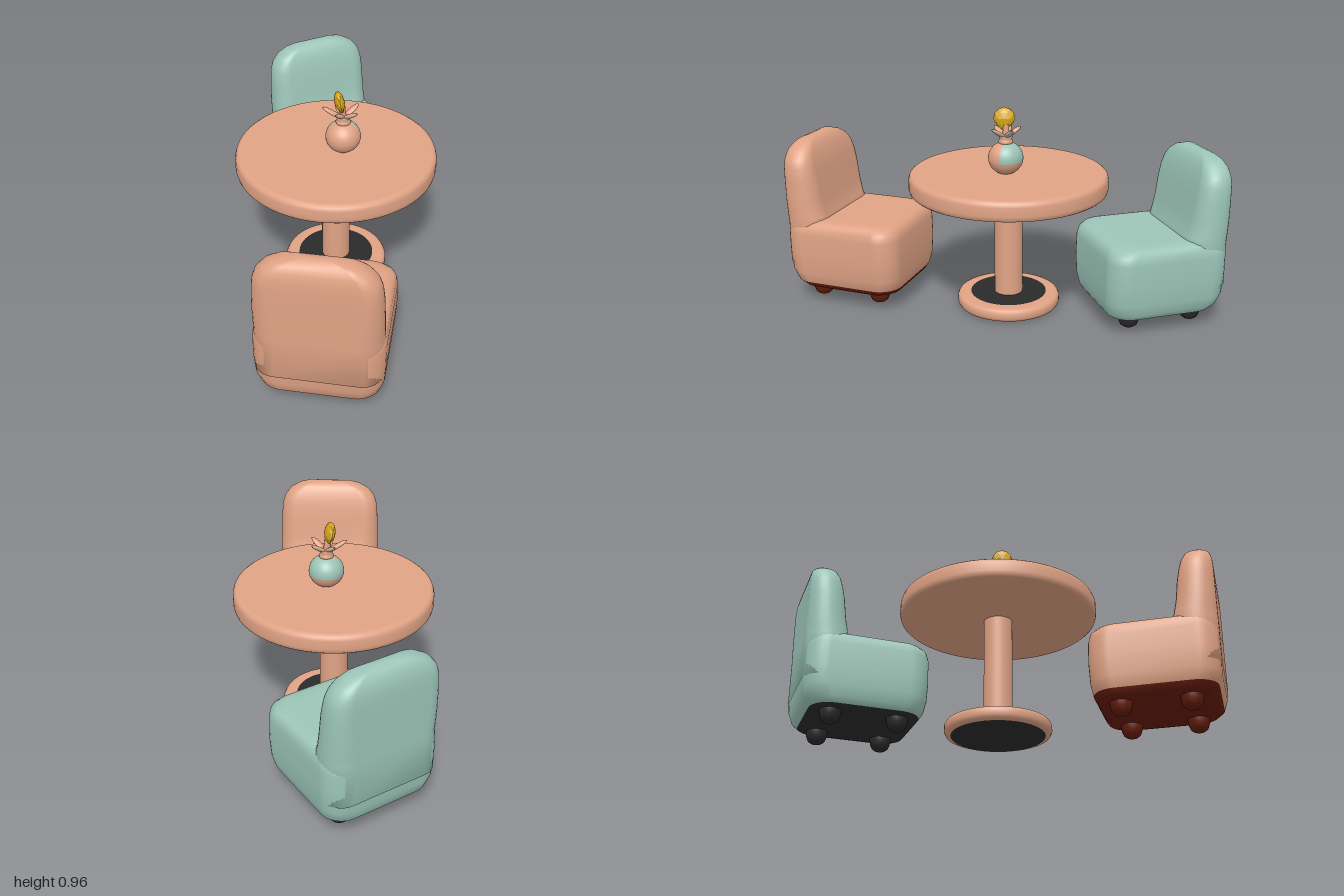
import * as THREE from 'three';

const mat = (name, color, extra = {}) => {
  const m = new THREE.MeshStandardMaterial({ color, ...extra });
  m.name = name;
  return m;
};

// Lofts rounded-rectangle rings [y, halfWidth, zBack, zFront]; rings below `split` use the second material
function loft(sections, corner, split = 0) {
  const steps = 8, n = 4 * (steps + 1), pos = [], idx = [];
  for (const [y, w, zb, zf] of sections) {
    const d = (zf - zb) / 2, zc = (zf + zb) / 2, r = Math.min(corner, d * 0.95, w * 0.95);
    for (let q = 0; q < 4; q++) {
      const sx = q === 0 || q === 3 ? 1 : -1, sz = q < 2 ? 1 : -1;
      for (let i = 0; i <= steps; i++) {
        const a = (q + i / steps) * Math.PI / 2;
        pos.push(sx * (w - r) + r * Math.cos(a), y, zc + sz * (d - r) + r * Math.sin(a));
      }
    }
  }
  const last = sections.length - 1;
  const mid = s => [0, s[0], (s[2] + s[3]) / 2];
  pos.push(...mid(sections[0]), ...mid(sections[last]));
  const bottom = n * (last + 1), top = bottom + 1;
  for (let j = 0; j < n; j++) idx.push(bottom, j, (j + 1) % n);
  let lower = 0;
  for (let k = 0; k < last; k++) {
    if (k === split) lower = idx.length;
    for (let j = 0; j < n; j++) {
      const a = k * n + j, b = k * n + (j + 1) % n;
      idx.push(a, a + n, b, b, a + n, b + n);
    }
  }
  for (let j = 0; j < n; j++) idx.push(top, last * n + (j + 1) % n, last * n + j);
  const g = new THREE.BufferGeometry();
  g.setAttribute('position', new THREE.Float32BufferAttribute(pos, 3));
  g.setIndex(idx);
  g.computeVertexNormals();
  g.addGroup(0, lower, 1);
  g.addGroup(lower, idx.length - lower, 0);
  return g;
}

const lathe = (pts, seg = 48, start = 0, len = Math.PI * 2) =>
  new THREE.LatheGeometry(pts.map(p => new THREE.Vector2(...p)), seg, start, len);

function add(parent, name, geo, material, x = 0, y = 0, z = 0) {
  const m = new THREE.Mesh(geo, material);
  m.name = name;
  m.position.set(x, y, z);
  parent.add(m);
  return m;
}

const SEAT = [
  [0.075, 0.21, -0.21, 0.235], [0.083, 0.235, -0.238, 0.255], [0.108, 0.252, -0.262, 0.27],
  [0.16, 0.266, -0.278, 0.28], [0.25, 0.271, -0.284, 0.284], [0.35, 0.27, -0.284, 0.282],
  [0.385, 0.264, -0.282, 0.274], [0.405, 0.25, -0.275, 0.255], [0.414, 0.225, -0.26, 0.225],
  [0.416, 0.19, -0.24, 0.18],
];
const BACK = [
  [0.2, 0.262, -0.284, -0.1], [0.4, 0.263, -0.286, -0.08], [0.43, 0.262, -0.286, -0.095],
  [0.5, 0.261, -0.287, -0.112], [0.6, 0.257, -0.288, -0.125], [0.66, 0.251, -0.288, -0.137],
  [0.7, 0.238, -0.286, -0.147], [0.735, 0.21, -0.279, -0.16], [0.76, 0.168, -0.266, -0.175],
  [0.773, 0.125, -0.252, -0.19], [0.78, 0.06, -0.23, -0.208],
];

function makeChair(name, fabric, under, split) {
  const chair = new THREE.Group();
  chair.name = name;
  add(chair, 'seat', loft(SEAT, 0.1, split), [fabric, under]);
  add(chair, 'backrest', loft(BACK, 0.1), fabric);
  // Stubby rounded feet
  const foot = lathe([[0, 0.018], [0.025, 0.02], [0.038, 0.03], [0.046, 0.05], [0.05, 0.075], [0.048, 0.1]], 20);
  for (const x of [-0.15, 0.15]) for (const z of [-0.145, 0.155]) add(chair, 'foot', foot, under, x, 0, z);
  return chair;
}

export function createModel() {
  const pink = mat('pink', 0xe0a385, { side: THREE.DoubleSide });
  const teal = mat('teal', 0x9cc5b7, { side: THREE.DoubleSide });
  const maroon = mat('maroon', 0x651c0a);
  const black = mat('black', 0x2a2a2a);
  const yellow = mat('yellow', 0xd6a617);

  const model = new THREE.Group();
  model.name = 'diningSet';

  // Chairs, both turned towards the table
  const front = makeChair('pinkChair', pink, maroon, 2);
  front.position.set(0.085, 0, 0.71);
  front.rotation.y = Math.PI;
  const rear = makeChair('tealChair', teal, black, 1);
  rear.position.set(-0.115, 0, -0.652);
  rear.rotation.y = 0.64;
  model.add(front, rear);

  // Round pedestal table
  const table = new THREE.Group();
  table.name = 'table';
  table.position.z = -0.01;
  model.add(table);
  add(table, 'tableTop', lathe([[0, 0.565], [0.435, 0.565], [0.447, 0.566], [0.455, 0.573], [0.459, 0.59],
    [0.458, 0.63], [0.453, 0.646], [0.442, 0.654], [0.43, 0.656], [0, 0.656]], 64), pink);
  add(table, 'pedestal', new THREE.CylinderGeometry(0.066, 0.066, 0.52, 32, 1, true), pink, 0, 0.31, 0);
  add(table, 'base', lathe([[0.2, 0.001], [0.22, 0.001], [0.234, 0.006], [0.241, 0.02], [0.241, 0.042],
    [0.234, 0.055], [0.22, 0.06], [0.2, 0.06], [0.06, 0.06]], 64), pink);
  const disc = r => new THREE.CircleGeometry(r, 48);
  add(table, 'baseInlay', disc(0.178), black, 0, 0.062, 0).rotation.x = -Math.PI / 2;
  add(table, 'baseUnderside', disc(0.212), black, 0, 0, 0).rotation.x = Math.PI / 2;

  // Vase: pink bulb with a teal glaze on its upper rear
  const vase = new THREE.Group();
  vase.name = 'vase';
  vase.position.set(0.033, 0, -0.008);
  model.add(vase);
  const bulb = (from, to) => Array.from({ length: 11 }, (_, i) => {
    const a = from + (to - from) * i / 10;
    return [0.08 * Math.cos(a), 0.727 + 0.076 * Math.sin(a)];
  });
  add(vase, 'bulbLower', lathe(bulb(-Math.PI / 2, -0.15), 40), pink);
  add(vase, 'bulbFront', lathe(bulb(-0.15, 1.25), 20, -Math.PI / 2, Math.PI), pink);
  add(vase, 'bulbGlaze', lathe(bulb(-0.15, 1.25), 20, Math.PI / 2, Math.PI), teal);
  add(vase, 'neck', lathe([[0.025, 0.79], [0.031, 0.795], [0.034, 0.803], [0.03, 0.81], [0.027, 0.818],
    [0.032, 0.826], [0.026, 0.832], [0, 0.833]], 24), pink);

  // Leaves: pink above, teal beneath
  const split = Math.PI * 0.58;
  const leafTop = new THREE.SphereGeometry(1, 14, 8, 0, Math.PI * 2, 0, split);
  const leafUnder = new THREE.SphereGeometry(1, 14, 6, 0, Math.PI * 2, split, Math.PI - split);
  for (const [x, z] of [[-0.088, 0.012], [0.065, 0.04], [0.058, -0.05], [-0.04, -0.055], [-0.02, 0.06]]) {
    const leaf = new THREE.Group();
    leaf.name = 'leaf';
    leaf.position.set(x * 0.52, 0.845, z * 0.52);
    leaf.rotation.set(0, Math.atan2(-z, x), 0.55, 'YXZ');
    leaf.scale.set(Math.hypot(x, z) * 0.62, 0.01, 0.016);
    add(leaf, 'leafTop', leafTop, pink);
    add(leaf, 'leafUnder', leafUnder, teal);
    vase.add(leaf);
  }

  // Stem and faceted blossom
  add(vase, 'stem', new THREE.CylinderGeometry(0.013, 0.017, 0.06, 12), pink, -0.004, 0.85, 0);
  const flowerGeo = new THREE.IcosahedronGeometry(1, 1);
  const p = flowerGeo.attributes.position;
  for (let i = 0; i < p.count; i++) {
    const k = p.getY(i) < 0 ? 1 + 0.45 * p.getY(i) : 1;
    p.setXYZ(i, p.getX(i) * 0.023 * k, p.getY(i) * 0.054, p.getZ(i) * 0.05 * k);
  }
  flowerGeo.computeVertexNormals();
  const flower = add(vase, 'flower', flowerGeo, yellow, -0.014, 0.903, 0.012);
  flower.rotation.set(0, 0.3, 0.2);

  return model;
}
